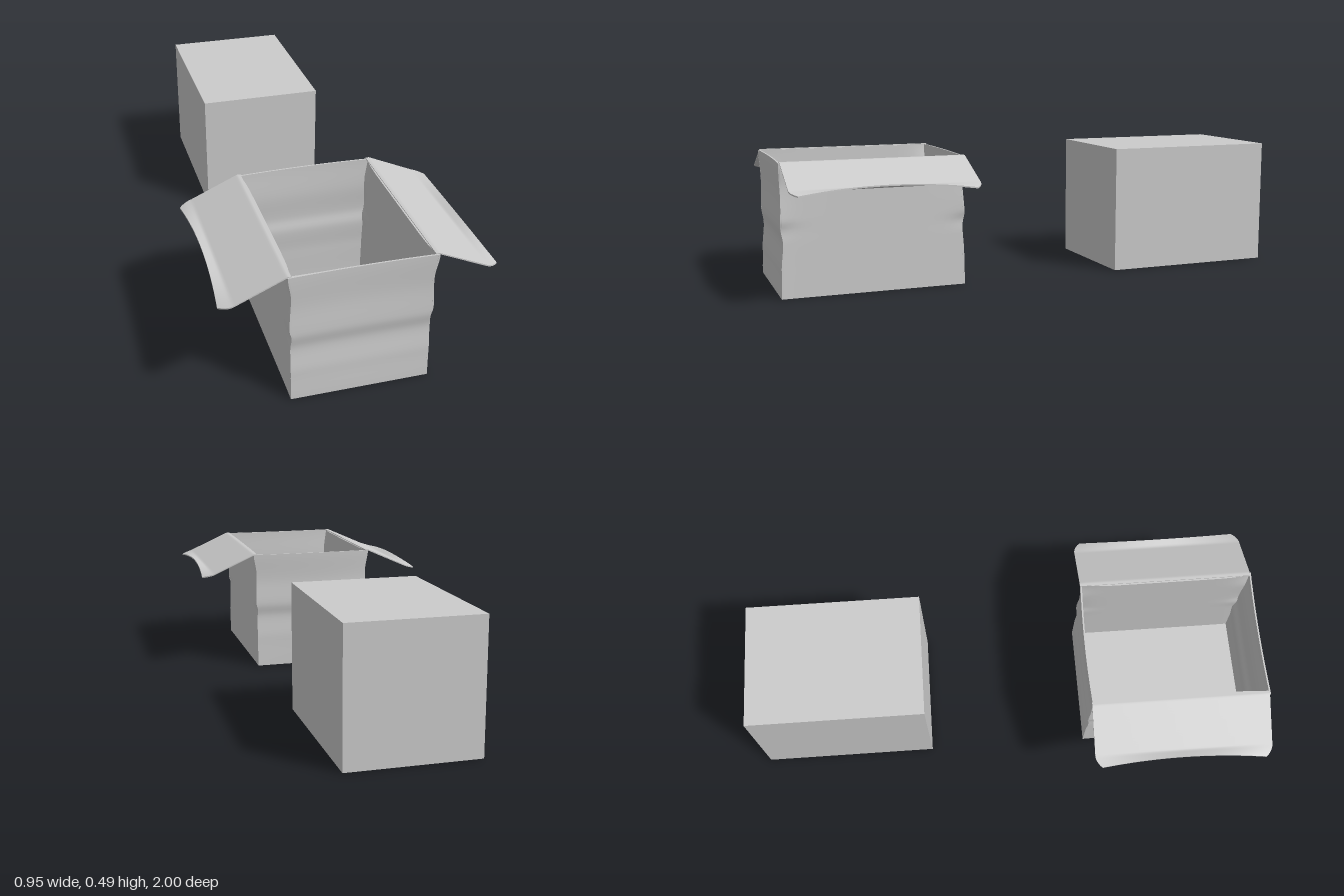
import * as THREE from 'three';

const material = new THREE.MeshStandardMaterial({ color: 0xcccccc, side: THREE.DoubleSide });
const THICK = 0.006, TOP = 0.488, MID = 0.655;

// Smooth profile: value at t through [t, value] pairs
function sample(points, t) {
  let i = 0;
  while (i < points.length - 2 && t > points[i + 1][0]) i++;
  const [a, va] = points[i], [b, vb] = points[i + 1];
  const f = THREE.MathUtils.clamp((t - a) / (b - a), 0, 1);
  return THREE.MathUtils.lerp(va, vb, f * f * (3 - 2 * f));
}

// Thin slab bent by a rule: s -1..1 across, t 0..1 along, d 0 (inner) or 1 (outer)
function slab(name, rule) {
  const geo = new THREE.BoxGeometry(2, 1, 1, 24, 40, 1);
  const p = geo.attributes.position;
  for (let i = 0; i < p.count; i++) {
    p.setXYZ(i, ...rule(p.getX(i), p.getY(i) + 0.5, p.getZ(i) + 0.5));
  }
  geo.computeVertexNormals();
  const mesh = new THREE.Mesh(geo, material);
  mesh.name = name;
  return mesh;
}

function box(name, w, h, d, z, y = 0) {
  const mesh = new THREE.Mesh(new THREE.BoxGeometry(w, h, d), material);
  mesh.position.set(0, y + h / 2, z);
  mesh.name = name;
  return mesh;
}

// Crumpled cardboard: half width at the corners, front and back depth by height
const corner = [[0, 0.243], [0.2, 0.243], [0.245, 0.24], [0.28, 0.248], [0.4, 0.243], [0.49, 0.255]];
const depth = {
  '1': [[0, 1], [0.1, 0.997], [0.2, 0.989], [0.26, 0.997], [0.36, 0.994], [0.49, 0.999]],
  '-1': [[0, 0.315], [0.12, 0.317], [0.22, 0.323], [0.27, 0.316], [0.38, 0.322], [0.49, 0.319]],
};

// Front (k = 1) and back (k = -1) walls
function endWall(name, k) {
  return slab(name, (s, t, d) => {
    const y = t * TOP;
    const bulge = (1 - s * s) * t * (k > 0 ? 0.006 : 0.008);
    const z = sample(depth[k], y) - bulge;
    return [k * s * sample(corner, y), y, z - k * (1 - d) * THICK];
  });
}

// Left (k = 1) and right (k = -1) walls, flat in the middle and wavy at the corners
function sideWall(name, k) {
  return slab(name, (s, t, d) => {
    const y = t * TOP;
    const z = THREE.MathUtils.lerp(sample(depth[-1], y), sample(depth[1], y), (1 - k * s) / 2);
    const x = THREE.MathUtils.lerp(0.242, sample(corner, y), s ** 8);
    return [k * (x - (1 - d) * THICK), y, z];
  });
}

// Open flap: folds over the rim, slopes down, with a curled lip and drooping corners
function flap(name, k) {
  return slab(name, (s, t, d) => {
    const u = Math.max(0, (t - 0.08) / 0.92);
    const lip = Math.max(0, (u - 0.85) / 0.15);
    const droop = s * s;
    const rimX = 0.242 + 0.013 * Math.min(1, t / 0.08);
    const x = rimX + 0.175 * Math.min(1, u / 0.85) + lip * (0.03 + 0.015 * droop);
    const y = 0.486 - 0.078 * Math.min(1, u / 0.85) + lip * (0.009 - 0.022 * droop);
    const half = 0.339 - 0.025 * lip * lip;
    return [k * x, y + d * 0.005, MID + k * s * half];
  });
}

export function createModel() {
  const model = new THREE.Group();

  const closed = new THREE.Group();
  closed.name = 'closedBox';
  closed.add(box('closedBody', 0.485, 0.488, 0.68, -0.66));

  const open = new THREE.Group();
  open.name = 'openBox';
  open.add(
    box('floor', 0.484, THICK, 0.683, 0.6575),
    endWall('frontWall', 1), endWall('backWall', -1),
    sideWall('leftWall', 1), sideWall('rightWall', -1),
    flap('leftFlap', 1), flap('rightFlap', -1),
  );

  model.add(closed, open);
  return model;
}
